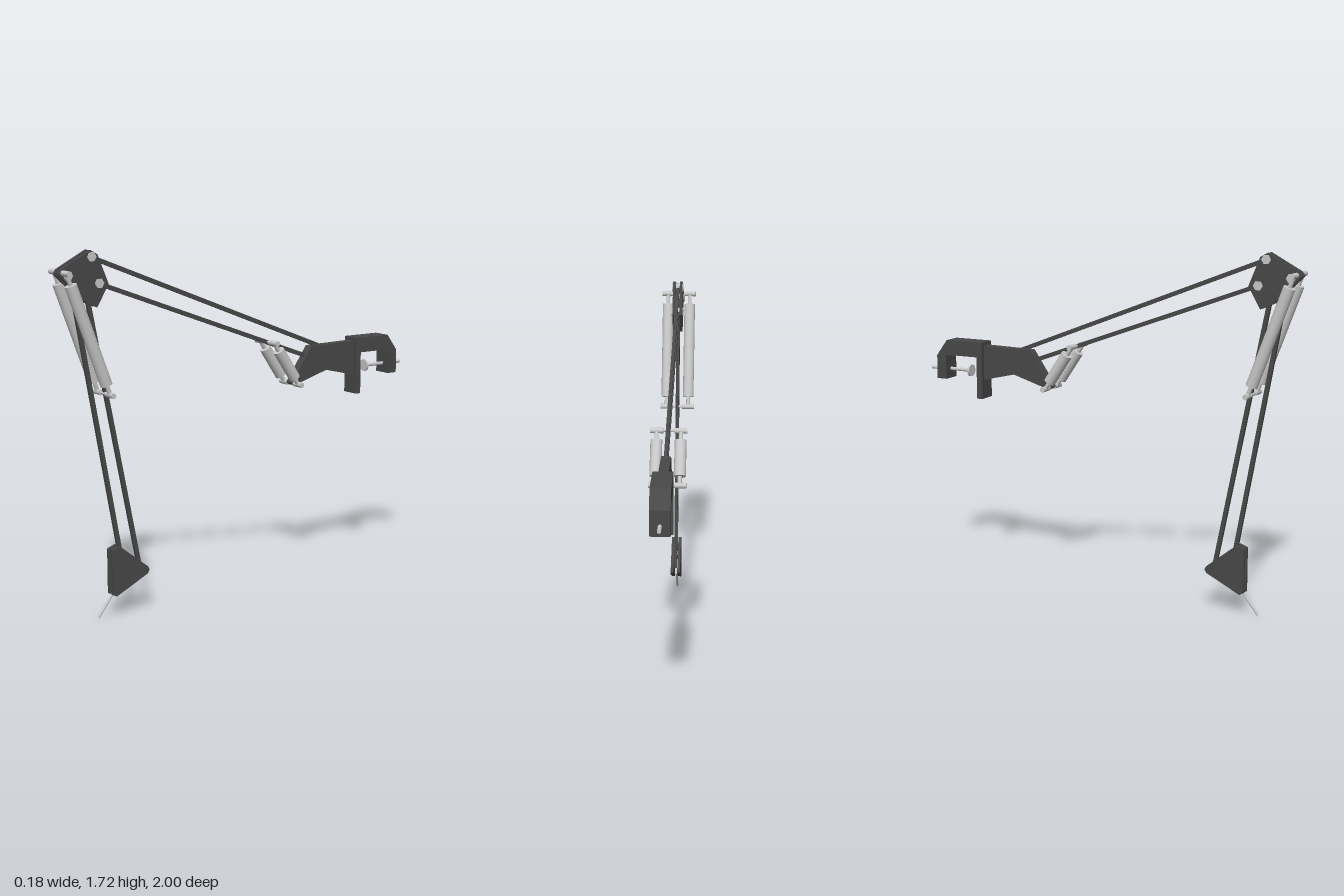
import * as THREE from 'three';

export function createModel() {
  const model = new THREE.Group();
  model.name = 'articulatedArm';
  const dark = new THREE.MeshStandardMaterial({ name: 'darkGrey', color: 0x484848 });
  const light = new THREE.MeshStandardMaterial({ name: 'lightGrey', color: 0xc8c8c8 });

  const add = (name, geometry, material, parent = model) => {
    const mesh = new THREE.Mesh(geometry, material);
    mesh.name = name;
    parent.add(mesh);
    return mesh;
  };

  // Flat plate from a [z, y] outline, centred on x
  const plate = (name, points, x, width) => {
    const shape = new THREE.Shape(points.map(([z, y]) => new THREE.Vector2(z, y)));
    const geo = new THREE.ExtrudeGeometry(shape, { depth: width, bevelEnabled: false });
    geo.translate(0, 0, -width / 2).rotateY(-Math.PI / 2);
    return add(name, geo, dark).translateX(x);
  };

  // Place a y-aligned geometry between two [z, y] points
  const span = (name, a, b, x, makeGeometry, material, parent) => {
    const p = new THREE.Vector3(x, a[1], a[0]);
    const q = new THREE.Vector3(x, b[1], b[0]);
    const dir = q.clone().sub(p);
    const mesh = add(name, makeGeometry(dir.length()), material, parent);
    mesh.position.copy(p).add(q).multiplyScalar(0.5);
    mesh.rotation.x = Math.atan2(dir.z, dir.y);
    return mesh;
  };
  const rod = (r, sides = 16) => (len) => new THREE.CylinderGeometry(r, r, len, sides);
  const bar = (len) => new THREE.BoxGeometry(0.016, len, 0.02);

  // Pin lying along x
  const pin = (name, [z, y], x, r, length, sides, parent) => {
    const geo = new THREE.CylinderGeometry(r, r, length, sides).rotateZ(Math.PI / 2);
    add(name, geo, light, parent).position.set(x, y, z);
  };

  // Elbow and tool-end side plates
  const elbow = [[1.0, 1.62], [0.98, 1.6], [0.865, 1.49], [0.805, 1.463], [0.745, 1.565],
    [0.8, 1.7], [0.835, 1.72], [0.985, 1.64]];
  const head = [[0.75, 0.325], [0.75, 0.11], [0.73, 0.1], [0.56, 0.183], [0.549, 0.2],
    [0.558, 0.217], [0.71, 0.34]];
  for (const x of [-0.0175, 0.0175]) {
    plate('elbowPlate', elbow, x, 0.015);
    plate('headPlate', head, x, 0.015);
  }
  for (const p of [[0.83, 1.69], [0.793, 1.57], [0.95, 1.61]]) pin('elbowBolt', p, 0, 0.023, 0.062, 6);

  // Parallel bars of both arms
  span('upperArmBar', [0.83, 1.69], [-0.47, 1.18], 0, bar, dark);
  span('upperArmBar', [0.793, 1.57], [-0.39, 1.135], 0, bar, dark);
  span('lowerArmBar', [0.93, 1.61], [0.69, 0.27], 0, bar, dark);
  span('lowerArmBar', [0.852, 1.55], [0.59, 0.21], 0, bar, dark);

  // Mounting stud at the tool end
  span('mountStud', [0.73, 0.12], [0.818, 0.005], 0, rod(0.006), light);

  // Pairs of spring cylinders hung between two axles
  const springPair = (name, a, b, from, to) => {
    const group = new THREE.Group();
    group.name = name;
    model.add(group);
    for (const x of [-0.057, 0.057]) {
      span('springSleeve', from, to, x, rod(0.028, 24), light, group);
      span('springRod', a, b, x, rod(0.01), light, group);
      for (const end of [a, b]) pin('axleEnd', end, x, 0.013, 0.062, 16, group);
    }
    for (const end of [a, b]) pin('axle', end, 0, 0.007, 0.1, 12, group);
  };
  springPair('lowerSprings', [0.975, 1.625], [0.765, 1.065], [0.955, 1.573], [0.784, 1.113]);
  springPair('baseSprings', [-0.15, 1.225], [-0.3, 1.007], [-0.178, 1.187], [-0.276, 1.043]);

  // Bracket and table clamp
  plate('bracket', [[-0.285, 1.01], [-0.405, 1.185], [-0.68, 1.19], [-0.68, 1.015],
    [-0.5, 1.057], [-0.3, 0.998]], 0, 0.046);
  plate('clamp', [[-0.674, 1.207], [-0.88, 1.207], [-0.94, 1.126], [-0.94, 1.007],
    [-0.886, 1.007], [-0.886, 1.131], [-0.704, 1.131], [-0.704, 0.921], [-0.674, 0.921]], 0, 0.092);
  span('clampScrew', [-0.765, 1.054], [-1.0, 1.054], 0, rod(0.009), light);
  span('clampPad', [-0.76, 1.054], [-0.77, 1.054], 0, rod(0.03, 24), light);

  return model;
}
